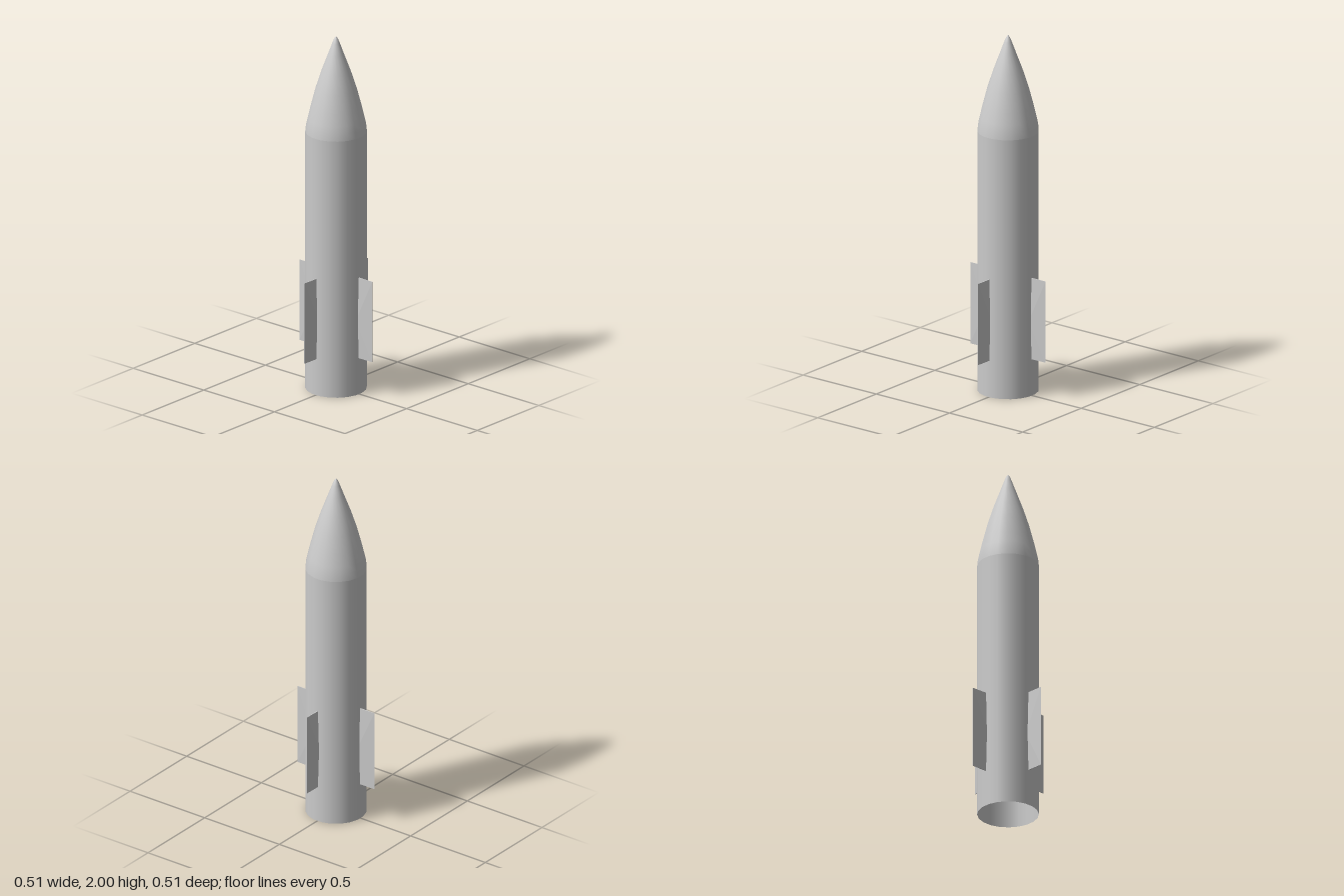
import * as THREE from 'three';
import { ConvexGeometry } from 'three/addons/geometries/ConvexGeometry.js';

const SIDES = 20;
const RADIUS = 0.165;
const SHOULDER = 1.46;

// Turn a [radius, height] profile with a flat side facing each axis
function turned(name, profile, material) {
  const points = profile.map(([r, y]) => new THREE.Vector2(r, y));
  const mesh = new THREE.Mesh(
    new THREE.LatheGeometry(points, SIDES, Math.PI / SIDES, Math.PI * 2), material);
  mesh.name = name;
  return mesh;
}

// Wedge fin along +x: diamond root section narrowing to a thin outer edge
function finGeometry() {
  const inner = 0.15, outer = 0.257, bottom = 0.205, top = 0.663;
  const points = [];
  for (const s of [-1, 1]) {
    for (const y of [bottom, top]) {
      points.push(new THREE.Vector3(inner, y, s * 0.003));
      points.push(new THREE.Vector3(outer, y, s * 0.001));
    }
    points.push(new THREE.Vector3(inner, 0.42, s * 0.01));
  }
  return new ConvexGeometry(points);
}

export function createModel() {
  const rocket = new THREE.Group();
  rocket.name = 'rocket';
  const shell = new THREE.MeshStandardMaterial({ color: 0xcccccc, side: THREE.DoubleSide });
  const finMaterial = new THREE.MeshStandardMaterial({ color: 0xcccccc, flatShading: true });

  // Body tube, open at the tail
  rocket.add(turned('bodyTube', [[RADIUS, 0], [RADIUS, SHOULDER]], shell));

  // Ogive nose with a small rounded tip
  rocket.add(turned('noseCone', [
    [RADIUS, SHOULDER], [0.161, 1.5], [0.152, 1.54], [0.138, 1.6], [0.112, 1.7],
    [0.08, 1.8], [0.043, 1.9], [0.021, 1.96], [0.011, 1.985], [0, 2],
  ], shell));

  // Four tail fins
  const fin = finGeometry();
  ['left', 'back', 'right', 'front'].forEach((side, i) => {
    const mesh = new THREE.Mesh(fin, finMaterial);
    mesh.name = side + 'Fin';
    mesh.rotation.y = i * Math.PI / 2;
    rocket.add(mesh);
  });

  return rocket;
}
